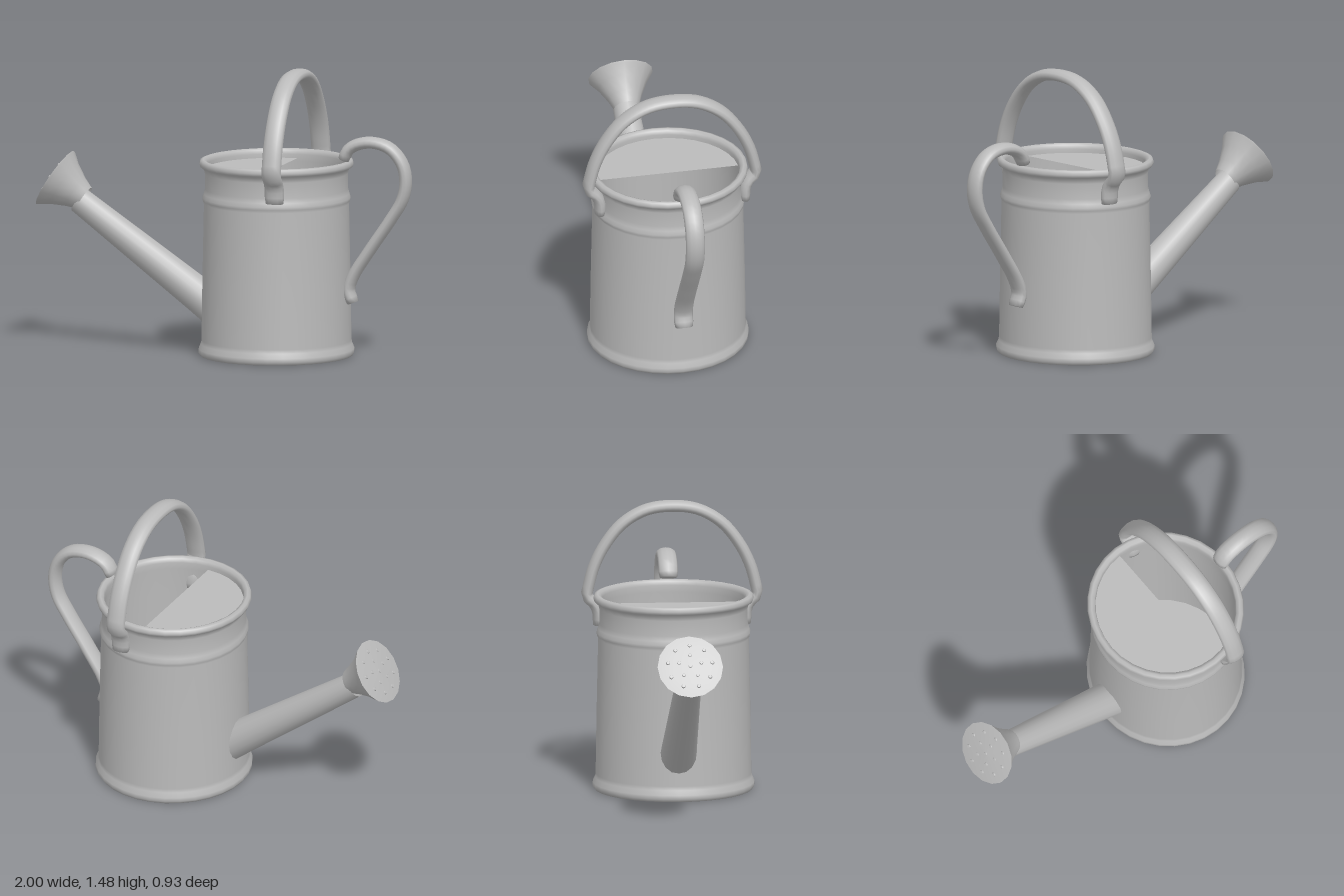
import * as THREE from 'three';

const metal = new THREE.MeshStandardMaterial({ color: 0xbababa, side: THREE.DoubleSide });
metal.name = 'grey metal';

const BODY_X = 0.275;

function add(parent, name, geometry) {
  const mesh = new THREE.Mesh(geometry, metal);
  mesh.name = name;
  parent.add(mesh);
  return mesh;
}

function lathe(profile, segments) {
  return new THREE.LatheGeometry(profile.map(([r, y]) => new THREE.Vector2(r, y)), segments);
}

// Sweeps an oval section (a in the plane, b across it) along a path in the XY plane.
function sweep(path, a, b, steps, sides = 12) {
  const curve = new THREE.CatmullRomCurve3(path.map(([x, y]) => new THREE.Vector3(x, y, 0)), false, 'centripetal');
  const pos = [], index = [];
  const ring = (u, scale) => {
    const c = curve.getPointAt(u), t = curve.getTangentAt(u);
    for (let j = 0; j < sides; j++) {
      const w = (j / sides) * Math.PI * 2;
      const n = Math.cos(w) * a * scale;
      pos.push(c.x - t.y * n, c.y + t.x * n, Math.sin(w) * b * scale);
    }
  };
  ring(0, 0.001);
  for (let i = 0; i <= steps; i++) ring(i / steps, i === 0 || i === steps ? 0.9 : 1);
  ring(1, 0.001);
  for (let i = 0; i < steps + 2; i++) {
    for (let j = 0; j < sides; j++) {
      const p = i * sides + j, q = i * sides + (j + 1) % sides;
      index.push(p, q, p + sides, q, q + sides, p + sides);
    }
  }
  const g = new THREE.BufferGeometry();
  g.setAttribute('position', new THREE.Float32BufferAttribute(pos, 3));
  g.setIndex(index);
  g.computeVertexNormals();
  return g;
}

export function createModel() {
  const model = new THREE.Group();
  model.name = 'wateringCan';

  // Body: beaded foot, tapered wall, bead under the neck, rolled rim, thin inner wall
  const can = new THREE.Group();
  can.name = 'can';
  can.position.x = BODY_X;
  can.scale.x = 0.96;
  model.add(can);
  add(can, 'body', lathe([
    [0.395, 0.015], [0.405, 0], [0.415, 0.015], [0.415, 0.035], [0.403, 0.06],
    [0.4, 0.08], [0.395, 0.4], [0.387, 0.785], [0.393, 0.8], [0.395, 0.815], [0.388, 0.835],
    [0.381, 0.86], [0.381, 0.94], [0.388, 0.965], [0.405, 0.975], [0.411, 0.99],
    [0.405, 1.008], [0.39, 1.013], [0.373, 1.005], [0.368, 0.985], [0.368, 0.95],
    [0.375, 0.8], [0.385, 0.05],
  ], 32));

  // Base plate and inside floor
  const base = add(can, 'base', new THREE.CircleGeometry(0.4, 32).rotateX(Math.PI / 2));
  base.position.y = 0.012;
  const floor = add(can, 'floor', new THREE.CircleGeometry(0.388, 32).rotateX(-Math.PI / 2));
  floor.position.y = 0.05;

  // Half cover on the spout side of the opening
  const cover = add(can, 'halfCover', new THREE.CircleGeometry(0.37, 20, Math.PI / 2, Math.PI).rotateX(-Math.PI / 2));
  cover.position.y = 0.965;

  // Spout: tapered tube leaning out from the lower body
  const spoutStart = new THREE.Vector3(-0.03, 0.21, 0);
  const spoutEnd = new THREE.Vector3(-0.78, 0.755, 0);
  const up = new THREE.Vector3(0, 1, 0);
  const along = spoutEnd.clone().sub(spoutStart);
  const spout = add(model, 'spout', lathe([
    [0.097, 0], [0.091, 0.12], [0.067, along.length()],
  ], 16));
  spout.position.copy(spoutStart);
  spout.quaternion.setFromUnitVectors(up, along.clone().normalize());

  // Rose: flared head with a slightly domed, perforated face
  const rose = new THREE.Group();
  rose.name = 'rose';
  const faceCentre = new THREE.Vector3(-0.91, 0.865, 0);
  rose.position.copy(faceCentre);
  rose.quaternion.setFromUnitVectors(up, new THREE.Vector3(-0.84, 0.54, 0).normalize());
  model.add(rose);
  add(rose, 'roseFlare', lathe([
    [0.066, -0.185], [0.074, -0.165], [0.088, -0.13], [0.125, -0.06], [0.163, -0.008], [0.168, 0],
  ], 16));
  add(rose, 'roseFace', lathe([[0.168, 0], [0.1, 0.008], [0, 0.012]], 16));
  const nub = new THREE.CylinderGeometry(0.008, 0.012, 0.008, 8);
  for (const [count, radius] of [[1, 0], [5, 0.06], [9, 0.115]]) {
    for (let i = 0; i < count; i++) {
      const w = (i / count) * Math.PI * 2;
      add(rose, 'roseNozzle', nub).position.set(Math.cos(w) * radius, 0.012 - radius * 0.04, Math.sin(w) * radius);
    }
  }

  // Carrying handle: arch over the opening, kinked in to a tab on each side of the neck
  const half = [
    [0.378, 0.835], [0.38, 0.9], [0.395, 0.94], [0.436, 0.985], [0.428, 1.04],
    [0.4, 1.14], [0.345, 1.25], [0.255, 1.36], [0.135, 1.43],
  ];
  const arch = [...half, [0, 1.449], ...half.slice().reverse().map(([x, y]) => [-x, y])];
  const top = add(model, 'topHandle', sweep(arch, 0.03, 0.052, 56));
  top.rotation.y = Math.PI / 2;
  top.position.x = 0.38;

  // Rear handle: loop from the rim down to the lower wall with a curled tip
  add(model, 'rearHandle', sweep([
    [0.635, 1.025], [0.66, 1.075], [0.71, 1.105], [0.79, 1.117], [0.88, 1.092], [0.945, 1.02],
    [0.967, 0.93], [0.95, 0.83], [0.885, 0.72], [0.775, 0.56], [0.685, 0.42],
    [0.662, 0.35], [0.685, 0.285],
  ], 0.031, 0.05, 44));

  return model;
}
